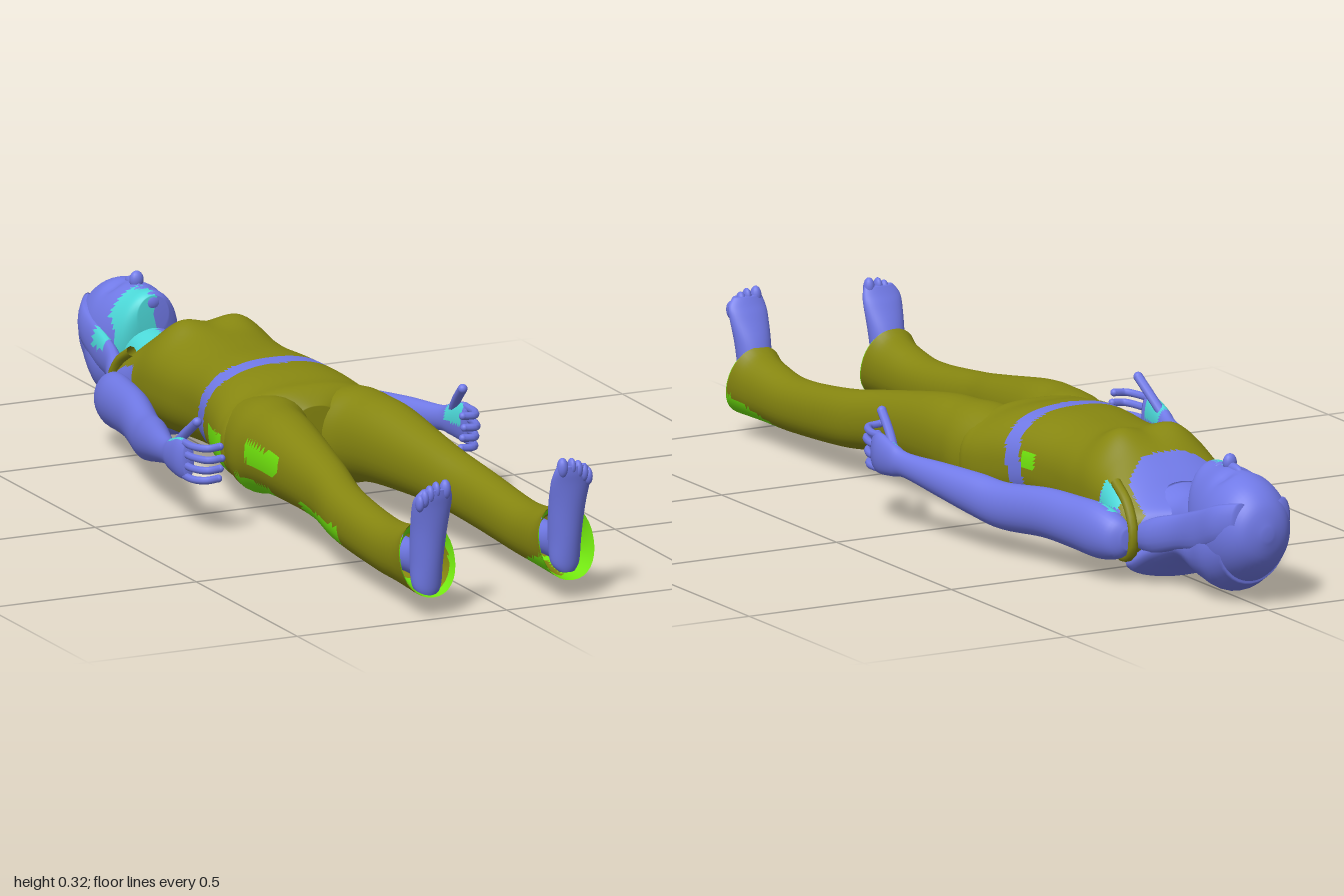
import * as THREE from 'three';

const mat = (name, color) => {
  const m = new THREE.MeshStandardMaterial({ color, side: THREE.DoubleSide });
  m.name = name;
  return m;
};
const within = (v, a, b) => v > a && v < b;

// Lofts smooth superellipse rings along z. Rows: [z, cx, cy, rx, ry].
// paint(x, y, z) returns a material index for each face.
function loft(rows, { side = 1, seg = 32, sub = 5, pow = 2, paint = () => 0, open = false, move } = {}) {
  const rings = [], at = i => rows[Math.max(0, Math.min(rows.length - 1, i))];
  for (let i = 0; i < rows.length - 1; i++) {
    for (let s = 0; s < sub; s++) {
      const t = s / sub, [a, b, c, d] = [at(i - 1), at(i), at(i + 1), at(i + 2)];
      rings.push(b.map((_, k) => 0.5 * (2 * b[k] + (c[k] - a[k]) * t
        + (2 * a[k] - 5 * b[k] + 4 * c[k] - d[k]) * t * t
        + (3 * b[k] - a[k] - 3 * c[k] + d[k]) * t * t * t)));
    }
  }
  rings.push(at(rows.length - 1));
  const pts = [], f = v => Math.sign(v) * Math.abs(v) ** (2 / pow);
  for (const [z, cx, cy, rx, ry] of rings) {
    for (let j = 0; j < seg; j++) {
      const a = j / seg * Math.PI * 2;
      const p = new THREE.Vector3(side * cx + f(Math.cos(a)) * rx, cy + f(Math.sin(a)) * ry, z);
      if (move) move(p);
      pts.push(p);
    }
  }
  const lists = [];
  const face = (a, b, c) => {
    const m = new THREE.Vector3().add(pts[a]).add(pts[b]).add(pts[c]).divideScalar(3);
    const k = paint(m.x, m.y, m.z);
    (lists[k] ||= []).push(a, b, c);
  };
  for (let i = 0; i < rings.length - 1; i++) {
    for (let j = 0; j < seg; j++) {
      const n = (j + 1) % seg, p = i * seg;
      face(p + j, p + n, p + seg + j);
      face(p + n, p + seg + n, p + seg + j);
    }
  }
  if (!open) {
    const last = (rings.length - 1) * seg;
    const centre = r => pts.push(new THREE.Vector3(side * r[1], r[2], r[0])) - 1;
    const c0 = centre(rings[0]), c1 = centre(rings[rings.length - 1]);
    for (let j = 0; j < seg; j++) {
      const n = (j + 1) % seg;
      face(c0, n, j);
      face(c1, last + j, last + n);
    }
  }
  const g = new THREE.BufferGeometry().setFromPoints(pts), index = [];
  lists.forEach((l, k) => { g.addGroup(index.length, l.length, k); index.push(...l); });
  g.setIndex(index);
  g.computeVertexNormals();
  return g;
}

export function createModel() {
  const root = new THREE.Group();
  const skin = mat('blue skin', 0x7079e6), cloth = mat('olive cloth', 0x868610);
  const lining = mat('bright green lining', 0x7cfa10), teal = mat('teal patch', 0x4cd8d8);
  const paints = [skin, cloth, lining, teal];
  const add = (name, geo, m = paints) => {
    const mesh = new THREE.Mesh(geo, m);
    mesh.name = name;
    root.add(mesh);
  };
  const ball = (name, x, y, z, rx, ry, rz, m = skin) =>
    add(name, new THREE.SphereGeometry(1, 16, 12).scale(rx, ry, rz).translate(x, y, z), m);
  const tube = (name, points, r, m = skin) => {
    const v = points.map(p => new THREE.Vector3(...p)), e = v[v.length - 1];
    add(name, new THREE.TubeGeometry(new THREE.CatmullRomCurve3(v), 16, r, 8), m);
    ball(name + 'Tip', e.x, e.y, e.z, r, r, r, m);
  };

  // Torso with tank top, tilted bare waist and trouser hips
  const torsoPaint = (x, y, z) => {
    const ax = Math.abs(x), waist = -0.148 - (0.28 - y) * 0.25;
    if (z > waist + 0.023) return x < -0.13 && within(y, 0.09, 0.17) && within(z, -0.11, -0.01) ? 2 : 1;
    if (z > waist - 0.023) return 0;
    if (x > 0.138 && within(y, 0.165, 0.22) && within(z, -0.61, -0.54)) return 3;
    if (within(x, 0.03, 0.13) && y < 0.09 && within(z, -0.52, -0.47)) return 2;
    if (x > 0.13 && within(y, 0.17, 0.21) && within(z, -0.245, -0.2)) return 2;
    if (within(ax, 0.115, 0.15) && z > -0.665) return 1;
    const neck = y > 0.14 ? -0.545 - 0.05 * (ax / 0.115) ** 3 : -0.52;
    return z > neck && (ax < 0.15 || z > -0.535) ? 1 : 0;
  };
  add('torso', loft([
    [-0.70, 0, 0.125, 0.055, 0.045], [-0.665, 0, 0.12, 0.13, 0.06], [-0.63, 0, 0.12, 0.156, 0.08],
    [-0.59, 0, 0.135, 0.16, 0.095], [-0.53, 0, 0.155, 0.155, 0.113], [-0.47, 0, 0.167, 0.155, 0.121],
    [-0.4, 0, 0.167, 0.152, 0.117], [-0.3, 0, 0.169, 0.148, 0.113], [-0.2, 0, 0.172, 0.158, 0.113],
    [-0.1, 0, 0.16, 0.18, 0.12], [-0.03, 0, 0.152, 0.194, 0.115], [0.01, 0, 0.152, 0.19, 0.112],
    [0.035, 0, 0.152, 0.14, 0.1], [0.06, 0, 0.155, 0.06, 0.075],
  ], {
    seg: 96, sub: 10, pow: 2.4, paint: torsoPaint,
    // Bust
    move: p => {
      if (p.y > 0.17) p.y += 0.019 * Math.exp(-(((Math.abs(p.x) - 0.068) / 0.05) ** 2) - ((p.z + 0.468) / 0.055) ** 2);
    },
  }));

  // Neck and head
  const facePaint = (x, y, z) => (x < 0.005 && x > -0.075 && within(z, -0.815, -0.685) && y > 0.13 ? 3 : 0);
  add('neck', loft([
    [-0.82, 0, 0.155, 0.06, 0.06], [-0.74, 0, 0.15, 0.062, 0.058],
    [-0.68, 0, 0.14, 0.067, 0.06], [-0.62, 0, 0.14, 0.09, 0.07],
  ], { paint: facePaint }));
  add('head', loft([
    [-1, 0, 0.17, 0.012, 0.014], [-0.985, 0, 0.17, 0.055, 0.062], [-0.95, 0, 0.168, 0.082, 0.1],
    [-0.9, 0, 0.163, 0.094, 0.124], [-0.85, 0, 0.16, 0.093, 0.13], [-0.8, 0, 0.167, 0.083, 0.12],
    [-0.765, 0, 0.2, 0.064, 0.088], [-0.748, 0, 0.24, 0.036, 0.04],
  ], {
    seg: 48, paint: facePaint,
    // Eye sockets
    move: p => {
      if (p.y > 0.2) p.y -= 0.012 * Math.exp(-(((Math.abs(p.x) - 0.036) / 0.02) ** 2) - ((p.z + 0.872) / 0.016) ** 2);
    },
  }));
  ball('noseBridge', 0, 0.284, -0.85, 0.011, 0.014, 0.035);
  ball('noseTip', 0, 0.296, -0.832, 0.016, 0.02, 0.013);
  ball('upperLip', 0, 0.28, -0.802, 0.022, 0.01, 0.006);
  ball('lowerLip', 0, 0.279, -0.791, 0.019, 0.01, 0.006);
  ball('chin', 0, 0.265, -0.762, 0.026, 0.022, 0.017);

  // Long hair, narrow at the nape and spread over the shoulder blades
  add('backHair', loft([
    [-0.93, 0, 0.14, 0.083, 0.09], [-0.87, 0, 0.125, 0.097, 0.105], [-0.81, 0, 0.11, 0.094, 0.082],
    [-0.75, 0, 0.108, 0.1, 0.05], [-0.69, 0, 0.082, 0.124, 0.046], [-0.635, 0, 0.048, 0.138, 0.042],
    [-0.595, 0, 0.045, 0.12, 0.033], [-0.56, 0, 0.055, 0.06, 0.018],
  ]));
  for (const s of [1, -1]) {
    add('sideHair', loft([
      [-0.97, 0.05, 0.2, 0.018, 0.04], [-0.92, 0.077, 0.185, 0.02, 0.045], [-0.85, 0.086, 0.16, 0.015, 0.045],
      [-0.77, 0.09, 0.14, 0.018, 0.04], [-0.7, 0.11, 0.12, 0.024, 0.04], [-0.65, 0.125, 0.11, 0.013, 0.025],
    ], { side: s, seg: 16, paint: (x, y, z) => (x < -0.08 && y > 0.16 && within(z, -0.84, -0.79) ? 3 : 0) }));
  }

  for (const s of [1, -1]) {
    // Shoulder strap
    tube('strap', [[s * 0.136, 0.215, -0.575], [s * 0.139, 0.178, -0.632], [s * 0.142, 0.125, -0.662],
      [s * 0.14, 0.075, -0.652], [s * 0.125, 0.052, -0.59], [s * 0.11, 0.06, -0.52]], 0.0115, cloth);

    // Arm and palm
    const armPaint = (x, y, z) => {
      const armpit = s > 0 && x < 0.172 && y > 0.13 && within(z, -0.615, -0.55);
      const palm = Math.abs(x) < (s > 0 ? 0.333 : 0.345) && within(z, 0.035, 0.105) && y > 0.158;
      return armpit || palm ? 3 : 0;
    };
    add('arm', loft([
      [-0.655, 0.15, 0.105, 0.015, 0.022], [-0.635, 0.162, 0.106, 0.034, 0.045], [-0.58, 0.175, 0.112, 0.042, 0.06],
      [-0.5, 0.19, 0.117, 0.042, 0.058], [-0.4, 0.21, 0.12, 0.04, 0.055], [-0.28, 0.242, 0.113, 0.038, 0.052],
      [-0.2, 0.265, 0.124, 0.038, 0.048], [-0.1, 0.297, 0.14, 0.03, 0.038], [0, 0.325, 0.153, 0.02, 0.028],
      [0.04, 0.334, 0.158, 0.019, 0.036], [0.09, 0.338, 0.163, 0.018, 0.045], [0.12, 0.335, 0.163, 0.013, 0.042],
    ], { side: s, paint: armPaint }));
    // Curled fingers and raised thumb
    [0.2, 0.176, 0.151, 0.127].forEach((y, i) => {
      const end = 0.188 - Math.abs(i - 1) * 0.008;
      tube('finger', [[s * 0.337, y, 0.1], [s * 0.335, y, 0.145], [s * 0.318, y + 0.002, end], [s * 0.29, y + 0.004, end + 0.002]], 0.0085);
    });
    tube('thumb', [[s * 0.333, 0.175, 0.04], [s * 0.324, 0.212, 0.08], [s * 0.317, 0.248, 0.125]], 0.0105);

    // Flared trouser leg with a slanted hem
    const skew = p => { if (p.z > 0.9) p.z += (0.125 - p.y) * 0.35 * (p.z - 0.9) / 0.05; };
    const legPaint = (x, y, z) => {
      if (s > 0) return z > 0.78 && y < 0.05 + 0.3 * (z - 0.78) ? 2 : 1;
      const under = within(z, 0.04, 0.2) && y < 0.1;
      const thigh = within(z, 0.11, 0.27) && within(y, 0.145, 0.19) && x < -0.15;
      const calf = within(z, 0.36, 0.6) && within(y, 0.075, 0.115) && x < -0.15;
      return under || thigh || calf ? 2 : 1;
    };
    add('trouserLeg', loft([
      [-0.06, 0.1, 0.155, 0.08, 0.085], [0.03, 0.101, 0.151, 0.098, 0.106], [0.1, 0.113, 0.158, 0.085, 0.098],
      [0.2, 0.123, 0.16, 0.074, 0.09], [0.4, 0.14, 0.145, 0.056, 0.07], [0.55, 0.16, 0.125, 0.051, 0.064],
      [0.75, 0.165, 0.11, 0.05, 0.06], [0.87, 0.165, 0.116, 0.056, 0.067], [0.95, 0.166, 0.126, 0.065, 0.079],
    ], { side: s, sub: 8, pow: 2.15, paint: legPaint, open: true, move: skew }));
    // Hem lining, olive deeper inside towards the other leg
    add('cuffLining', loft([
      [0.87, 0.165, 0.114, 0.04, 0.05], [0.92, 0.165, 0.121, 0.054, 0.067], [0.953, 0.166, 0.126, 0.0645, 0.0785],
    ], {
      side: s, pow: 2.15, move: skew, open: true,
      paint: (x, y, z) => (s * x < 0.16 && z + (y - 0.125) * 0.35 < 0.932 ? 1 : 2),
    }));

    // Ankle, foot and toes
    const dy = s > 0 ? 0.007 : -0.008;
    add('ankle', loft([
      [0.8, 0.165, 0.11, 0.032, 0.036], [0.9, 0.165, 0.115, 0.031, 0.038], [0.955, 0.165, 0.13, 0.033, 0.055],
    ], { side: s }));
    const foot = loft([
      [0.055, 0.165, -0.955, 0.018, 0.013], [0.075, 0.165, -0.945, 0.032, 0.029], [0.13, 0.165, -0.944, 0.036, 0.038],
      [0.2, 0.165, -0.955, 0.041, 0.034], [0.255, 0.166, -0.971, 0.046, 0.023], [0.28, 0.166, -0.98, 0.044, 0.017],
      [0.298, 0.162, -0.985, 0.034, 0.012],
    ], { side: s }).rotateX(-Math.PI / 2);
    add('foot', foot.translate(0, dy, 0));
    [[0.14, 0.294, 0.0125], [0.162, 0.295, 0.009], [0.177, 0.287, 0.0105], [0.19, 0.279, 0.0105], [0.201, 0.27, 0.0095]]
      .forEach(([x, y, r]) => ball('toe', s * x, y + dy, 0.986, r, r + 0.01, 0.0135));
  }
  return root;
}
